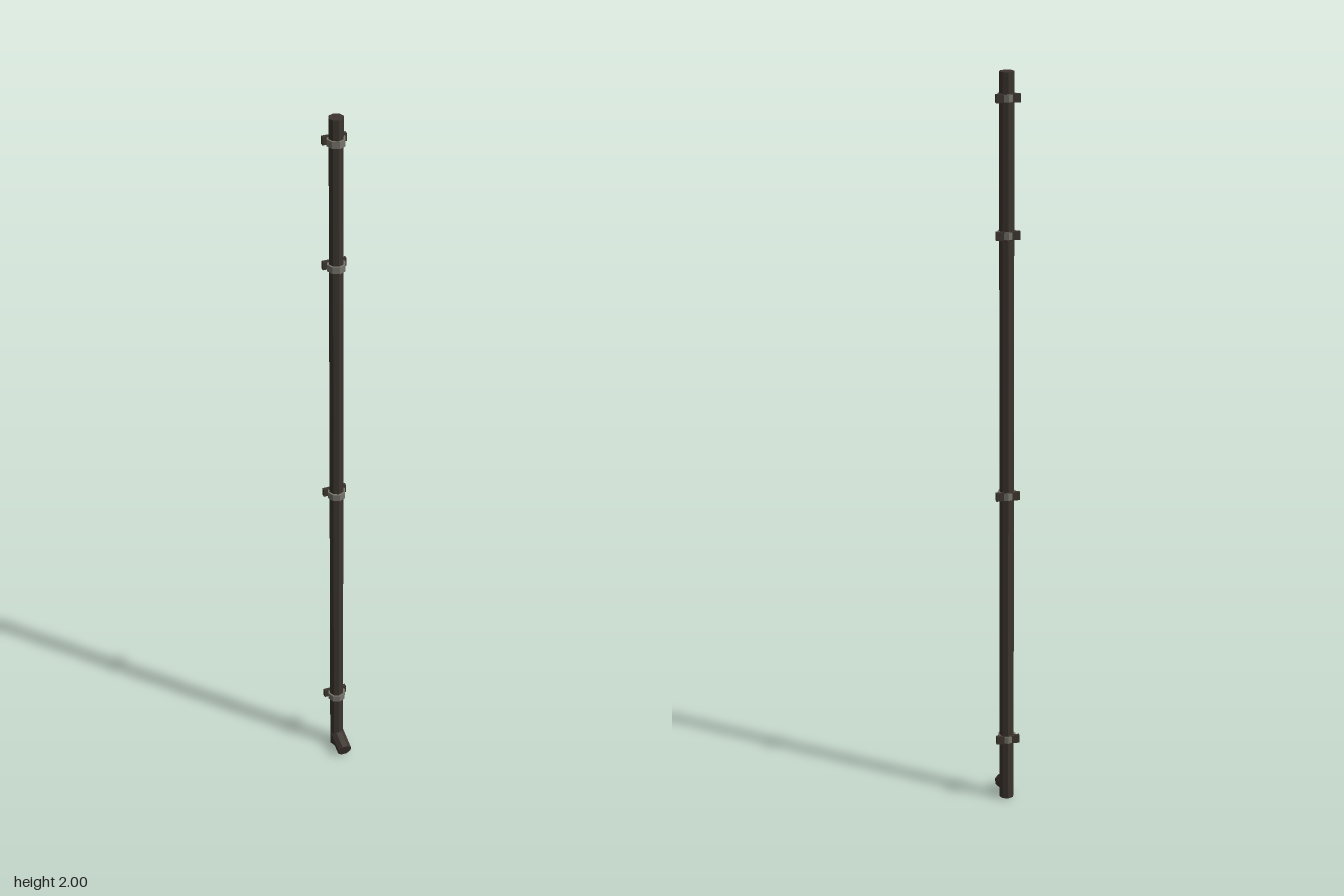
import * as THREE from 'three';

export function createModel() {
  const group = new THREE.Group();
  group.name = 'drainpipe';
  const iron = new THREE.MeshStandardMaterial({ name: 'dark iron', color: 0x3c352e, flatShading: true });
  const steel = new THREE.MeshStandardMaterial({ name: 'grey steel', color: 0x77756b, flatShading: true });
  const pipeZ = -0.0225;

  const add = (name, geometry, material, x, y, z, parent = group) => {
    const mesh = new THREE.Mesh(geometry, material);
    mesh.name = name;
    mesh.position.set(x, y, z);
    parent.add(mesh);
    return mesh;
  };

  // Long eight-sided downpipe
  add('pipe', new THREE.CylinderGeometry(0.0195, 0.0195, 1.997, 8), iron, 0, 1.0015, pipeZ);

  // Short outlet, sloping down towards the front
  const start = new THREE.Vector3(0, 0.036, pipeZ);
  const end = new THREE.Vector3(0, 0.018, 0.0393);
  const length = start.distanceTo(end);
  const outletGeometry = new THREE.CylinderGeometry(0.0202, 0.0202, length, 8);
  outletGeometry.rotateY(Math.PI / 8);
  const middle = start.clone().lerp(end, 0.5);
  const outlet = add('outlet', outletGeometry, iron, 0, middle.y, middle.z);
  outlet.quaternion.setFromUnitVectors(new THREE.Vector3(0, 1, 0), end.clone().sub(start).normalize());

  // Wall brackets: a steel collar with a mounting plate behind
  const collarGeometry = new THREE.CylinderGeometry(0.0245, 0.0245, 0.019, 8);
  const plateGeometry = new THREE.BoxGeometry(0.063, 0.022, 0.01);
  for (const y of [0.18, 0.882, 1.584, 1.935]) {
    const bracket = new THREE.Group();
    bracket.name = 'bracket';
    bracket.position.set(0, y, 0);
    group.add(bracket);
    add('collar', collarGeometry, steel, 0, 0, pipeZ, bracket);
    add('mountingPlate', plateGeometry, iron, 0, 0, -0.0375, bracket);
  }
  return group;
}
